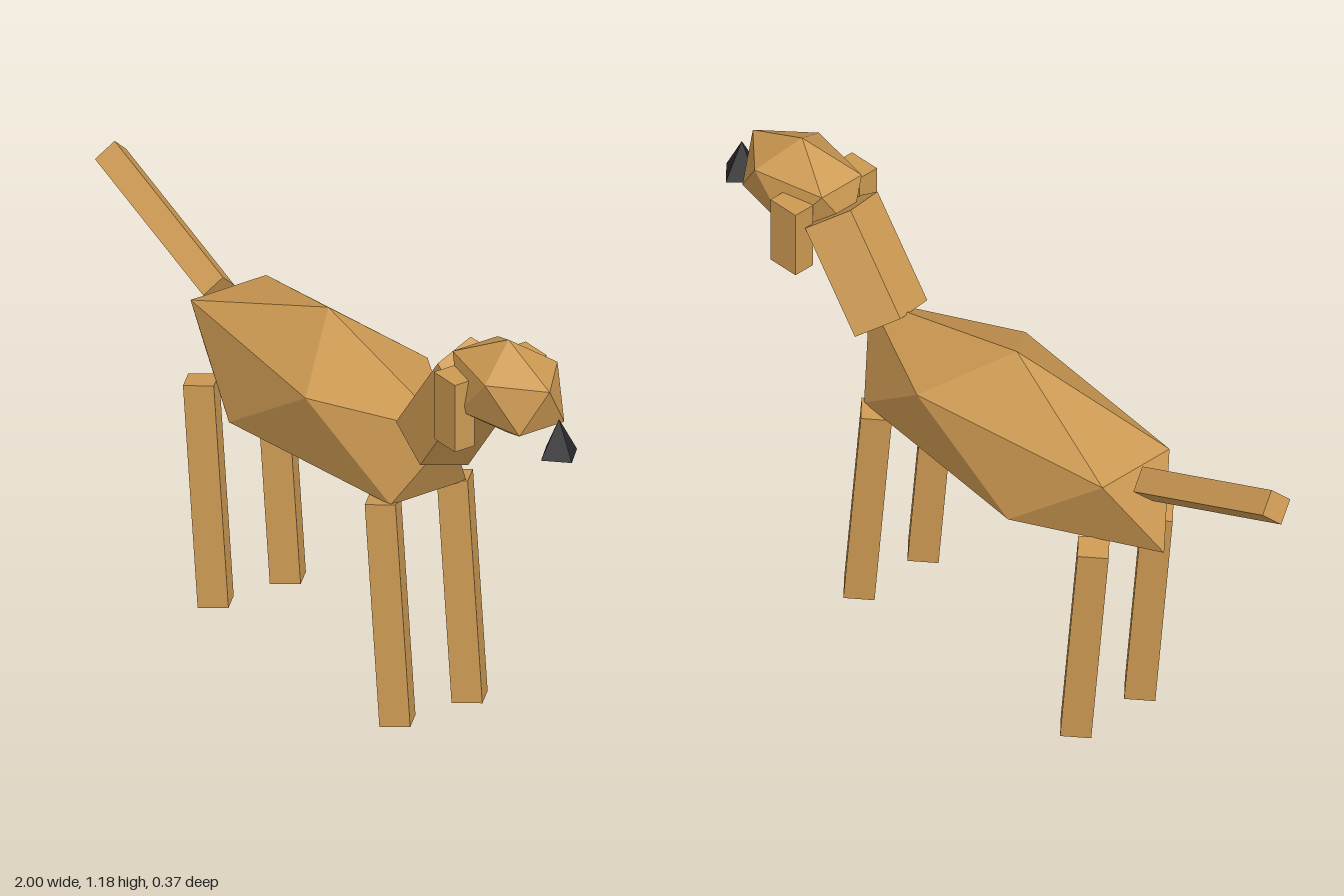
import * as THREE from 'three';

const tan = new THREE.MeshStandardMaterial({ color: 0xcc9952 });
tan.name = 'tanCoat';
const black = new THREE.MeshStandardMaterial({ color: 0x2a2a2d });
black.name = 'blackNose';

// Faceted mesh with one normal per face
function part(name, geometry, material, x, y, z, tilt = 0) {
  const flat = geometry.index ? geometry.toNonIndexed() : geometry;
  flat.computeVertexNormals();
  const mesh = new THREE.Mesh(flat, material);
  mesh.name = name;
  mesh.position.set(x, y, z);
  mesh.rotation.z = tilt;
  return mesh;
}

// Icosahedron standing on a corner, stretched to an ellipsoid
function gem(rx, ry, rz) {
  const g = new THREE.IcosahedronGeometry(1, 0);
  g.rotateZ(-Math.atan(2 / (1 + Math.sqrt(5))));
  return g.scale(rx, ry, rz);
}

// Straight prism with a corner facing -z
function prism(radius, length, sides) {
  return new THREE.CylinderGeometry(radius, radius, length, sides).rotateY(Math.PI);
}

export function createModel() {
  const dog = new THREE.Group();
  dog.name = 'dog';

  // Body, neck and head
  dog.add(part('body', gem(0.593, 0.2325, 0.219), tan, -0.05, 0.7075, 0));
  dog.add(part('neck', prism(0.11, 0.3, 5), tan, 0.507, 0.905, 0, -0.64));
  dog.add(part('head', gem(0.198, 0.131, 0.13), tan, 0.723, 1.049, 0));

  // Nose: a small pyramid just ahead of the head
  dog.add(part('nose', new THREE.ConeGeometry(0.055, 0.1, 4), black, 0.94, 1.0, 0));

  // Tail
  dog.add(part('tail', prism(0.0475, 0.5, 4), tan, -0.752, 0.878, 0, 1.195));

  // Ears and legs on both sides
  for (const [label, side] of [['Near', 1], ['Far', -1]]) {
    dog.add(part('ear' + label, new THREE.BoxGeometry(0.09, 0.187, 0.06), tan, 0.645, 0.986, side * 0.11));
    dog.add(part('frontLeg' + label, prism(0.055, 0.6, 4), tan, 0.37, 0.304, side * 0.11, 0.105));
    dog.add(part('hindLeg' + label, prism(0.055, 0.6, 4), tan, -0.41, 0.304, side * 0.11, 0.105));
  }

  return dog;
}
